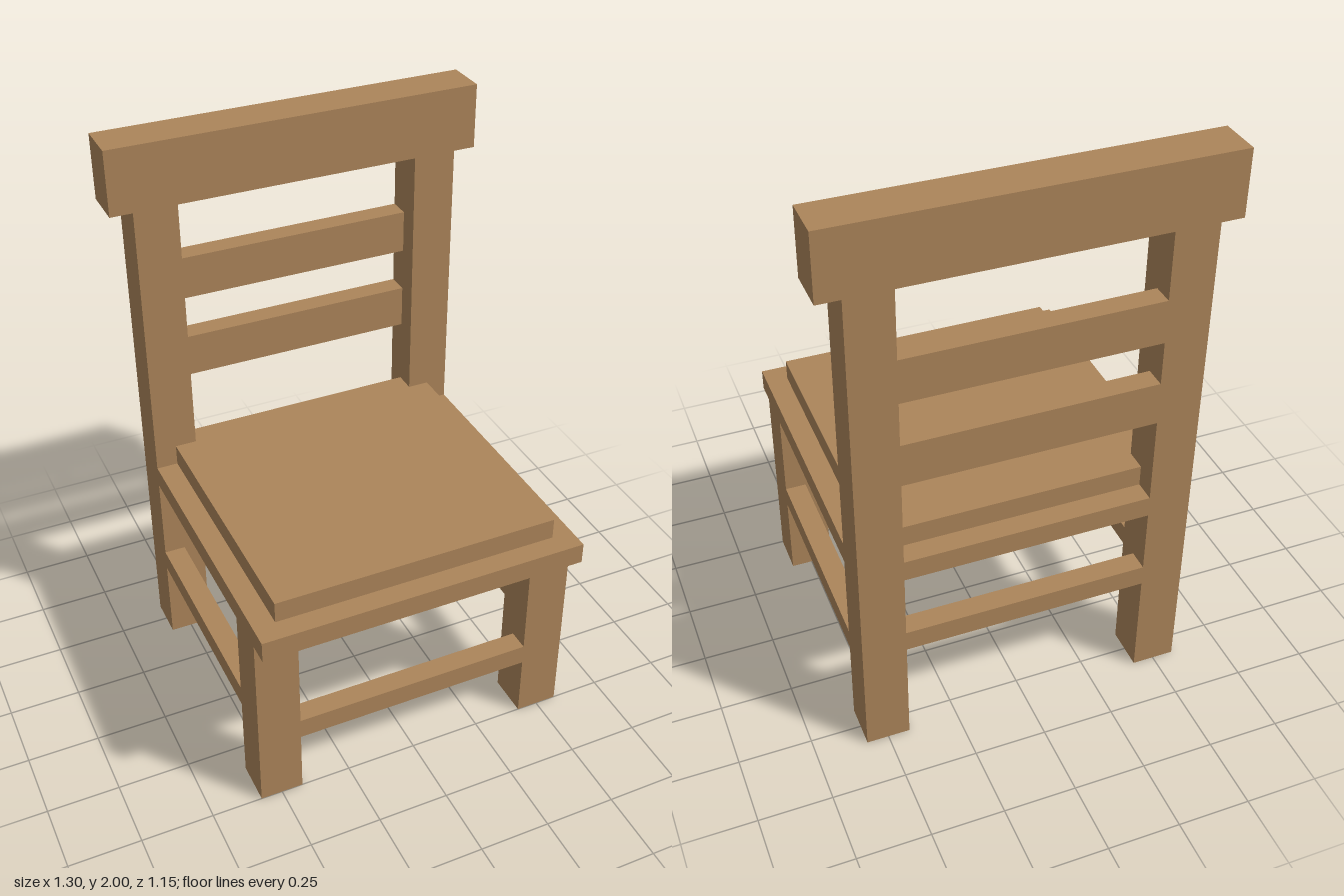
import * as THREE from 'three';

export function createModel() {
  const chair = new THREE.Group();
  chair.name = 'chair';
  const wood = new THREE.MeshStandardMaterial({ color: 0xac855a });
  wood.name = 'wood';

  const add = (name, geometry) => {
    const mesh = new THREE.Mesh(geometry, wood);
    mesh.name = name;
    chair.add(mesh);
    return mesh;
  };

  // Box given by its extents along each axis
  const box = (name, [x0, x1], [y0, y1], [z0, z1]) =>
    add(name, new THREE.BoxGeometry(x1 - x0, y1 - y0, z1 - z0))
      .position.set((x0 + x1) / 2, (y0 + y1) / 2, (z0 + z1) / 2);

  const outer = 0.575, inner = 0.425;
  const between = [-inner, inner];

  // Horizontal slab whose back corners are notched around the back posts
  const slab = (name, halfWidth, y0, y1, back, front) => {
    const shape = new THREE.Shape([
      [-halfWidth, -front], [halfWidth, -front], [halfWidth, inner], [inner, inner],
      [inner, -back], [-inner, -back], [-inner, inner], [-halfWidth, inner],
    ].map(([x, y]) => new THREE.Vector2(x, y)));
    const geometry = new THREE.ExtrudeGeometry(shape, { depth: y1 - y0, bevelEnabled: false });
    add(name, geometry.rotateX(-Math.PI / 2)).position.y = y0;
  };

  // Seat board and the raised pad on it
  slab('seatBoard', outer, 0.698, 0.773, -outer, outer);
  slab('seatPad', 0.5, 0.773, 0.848, -0.5, 0.5);

  // Legs, back posts and side stretchers, mirrored
  for (const [side, s] of [['left', 1], ['right', -1]]) {
    const span = (a, b) => (s > 0 ? [a, b] : [-b, -a]);
    box(side + 'FrontLeg', span(inner, outer), [0, 0.698], [0.35, 0.5]);
    box(side + 'BackPost', span(inner, outer), [0, 1.774], [-outer, -inner]);
    box(side + 'Stretcher', span(0.5, outer), [0.312, 0.387], [-inner, 0.35]);
  }

  // Front and back stretchers
  box('frontStretcher', between, [0.232, 0.307], [0.425, 0.5]);
  box('backStretcher', between, [0.39, 0.465], [-outer, -0.5]);

  // Back slats, flush with the rear of the posts
  for (const y of [1.082, 1.387]) {
    box('backSlat', between, [y, y + 0.152], [-outer, -0.5]);
  }

  // Top rail
  box('topRail', [-0.652, 0.652], [1.774, 2], [-outer, -inner]);

  return chair;
}
